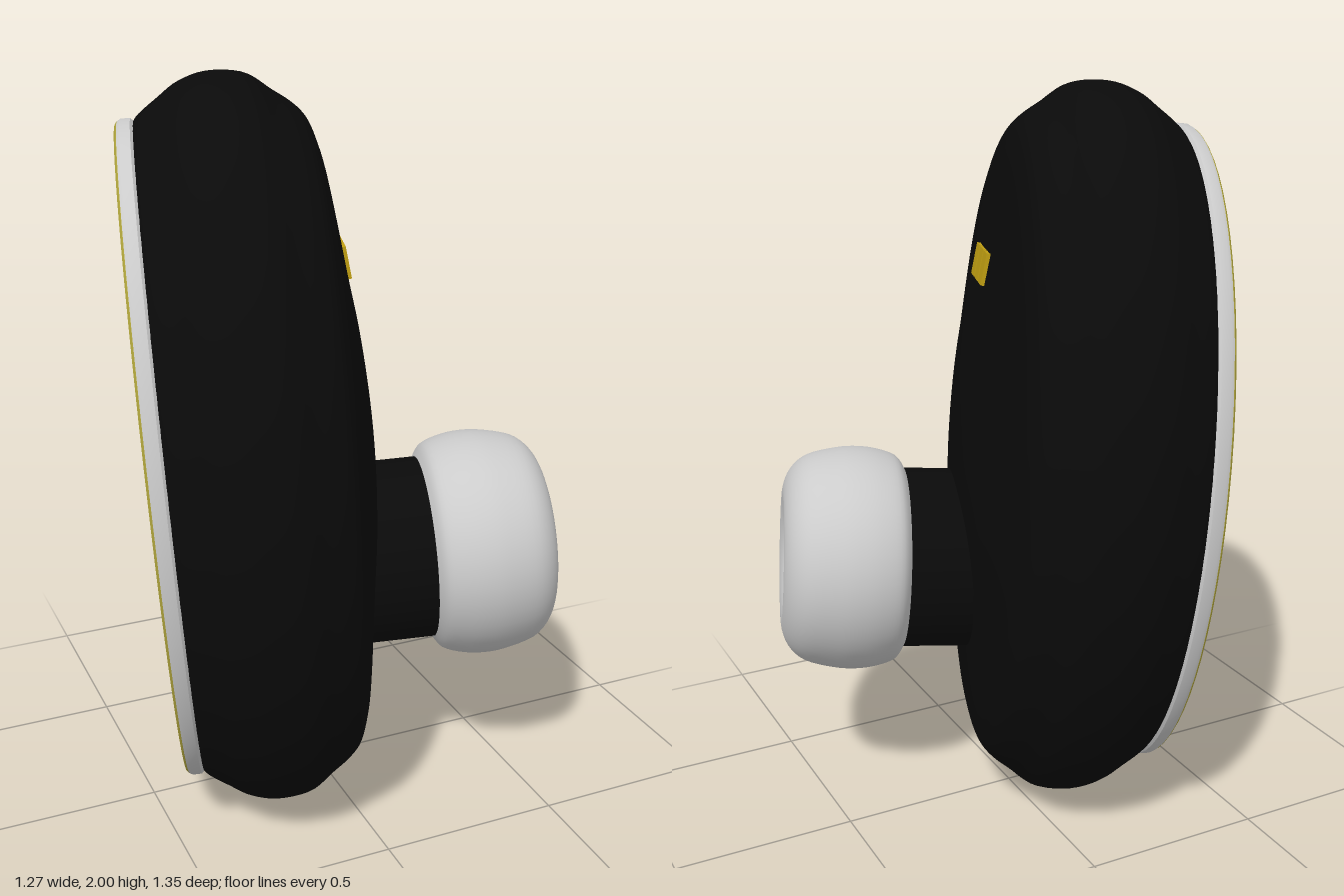
import * as THREE from 'three';
import { toCreasedNormals } from 'three/addons/utils/BufferGeometryUtils.js';

const mat = (color) => new THREE.MeshStandardMaterial({ color });
const GREY = mat(0xcccccc), BLACK = mat(0x0a0a0a), GOLD = mat(0xc2a012), PLATE = mat(0xb0a53c);
const STRETCH = 1.45; // long axis over short axis of the oval body

const pts = (list) => list.map(([r, h]) => new THREE.Vector2(r, h));

// Turned part; profile is [radius, height along the axis], listed bottom to top
function turned(name, profile, material, { smooth = 0, stretch = 1, segments = 72 } = {}) {
  const p = smooth ? new THREE.SplineCurve(pts(profile)).getPoints(smooth) : pts(profile);
  p.forEach((q) => { q.x = Math.max(0, q.x); });
  let geo = new THREE.LatheGeometry(p, segments);
  geo.scale(1, 1, stretch);
  if (!smooth) geo = toCreasedNormals(geo, 0.6);
  const mesh = new THREE.Mesh(geo, material);
  mesh.name = name;
  return mesh;
}

export function createModel() {
  const model = new THREE.Group();
  model.name = 'earbud';

  // Local frame: y runs out through the ear tip, z runs up the long axis
  const bud = new THREE.Group();
  bud.name = 'bud';
  const n = new THREE.Vector3(0.955, 0.07, 0.297).normalize();
  const u = new THREE.Vector3(-0.297, 0, 0.955).normalize();
  const v = new THREE.Vector3().crossVectors(u, n);
  bud.quaternion.setFromRotationMatrix(new THREE.Matrix4().makeBasis(u, n, v));
  bud.position.set(-0.017, 1.015, 0.055);
  model.add(bud);

  // Oval shell with a waist next to the rim and a soft shoulder on the inner side
  const oval = { stretch: STRETCH };
  bud.add(turned('shell', [
    [0.6, -0.405], [0.624, -0.385], [0.652, -0.33], [0.677, -0.274], [0.69, -0.2], [0.682, -0.11],
    [0.65, -0.045], [0.627, 0.0], [0.602, 0.032], [0.566, 0.051], [0.516, 0.066],
    [0.352, 0.1], [0.25, 0.122], [0.12, 0.14], [0, 0.145],
  ], BLACK, { ...oval, smooth: 60, segments: 96 }));

  // Outer face: grey rim, gold ring, grey groove and gold cover
  bud.add(turned('rim', [
    [0.606, -0.436], [0.617, -0.436], [0.622, -0.425], [0.622, -0.4], [0.612, -0.388], [0.59, -0.388],
  ], GREY, oval));
  bud.add(turned('goldRing', [
    [0.594, -0.425], [0.597, -0.436], [0.603, -0.44], [0.613, -0.44], [0.618, -0.435], [0.618, -0.425],
  ], PLATE, oval));
  bud.add(turned('groove', [
    [0.53, -0.42], [0.548, -0.434], [0.565, -0.434], [0.58, -0.42], [0.588, -0.432], [0.598, -0.432],
  ], GREY, oval));
  bud.add(turned('cover', [[0, -0.436], [0.544, -0.436], [0.549, -0.43], [0.549, -0.415]], PLATE, oval));

  // Charging contacts on the inner face
  for (let i = -1; i <= 1; i++) {
    const contact = new THREE.Mesh(new THREE.BoxGeometry(0.047, 0.04, 0.085), GOLD);
    contact.name = 'contact';
    contact.position.set(-0.005 + i * 0.058, 0.088, 0.51);
    contact.rotation.x = 0.13;
    bud.add(contact);
  }

  // Nozzle and soft ear tip
  const nozzle = new THREE.Group();
  nozzle.name = 'nozzle';
  nozzle.position.set(0.012, 0, -0.33);
  bud.add(nozzle);
  nozzle.add(turned('neck', [[0.25, 0.02], [0.25, 0.29], [0, 0.29]], BLACK));
  nozzle.add(turned('tipBase', [[0.2, 0.272], [0.252, 0.272]], GREY));
  nozzle.add(turned('earTip', [
    [0.252, 0.272], [0.285, 0.295], [0.303, 0.345], [0.31, 0.4], [0.306, 0.46], [0.285, 0.54],
    [0.245, 0.585], [0.19, 0.605], [0.14, 0.597], [0.105, 0.57], [0.085, 0.52], [0.08, 0.44], [0.08, 0.28],
  ], GREY, { smooth: 48, segments: 48 }));

  return model;
}
